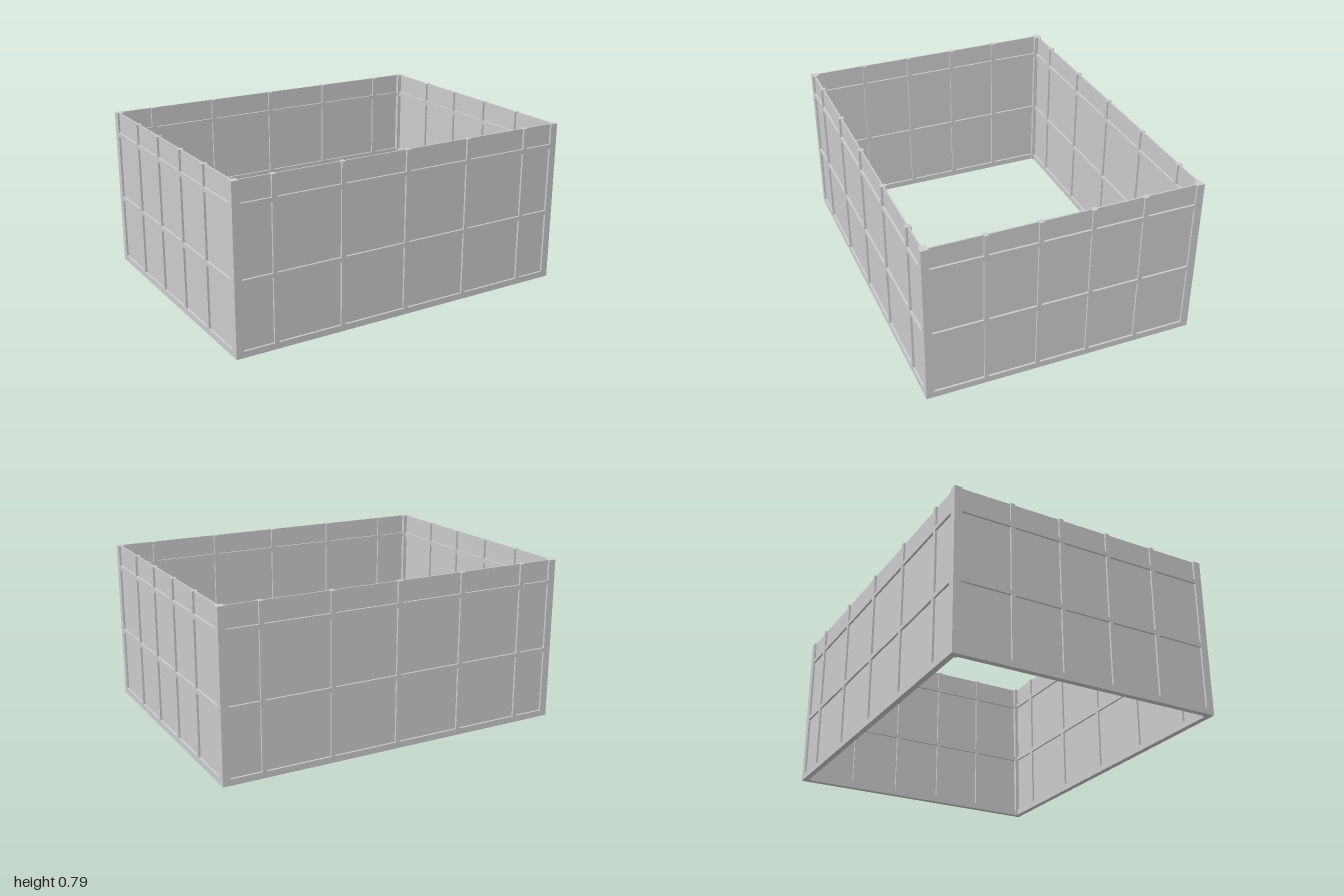
import * as THREE from 'three';

const WIDTH = 1.305, DEPTH = 1.72, HEIGHT = 0.785;
const THICK = 0.027, PANEL = 0.007, POST = 0.036, BASE = 0.03, BAR = 0.021;

const material = new THREE.MeshStandardMaterial({ color: 0xcccccc, flatShading: true });

function addBox(parent, name, w, h, d, x, y, z) {
  const mesh = new THREE.Mesh(new THREE.BoxGeometry(w, h, d), material);
  mesh.name = name;
  mesh.position.set(x, y, z);
  parent.add(mesh);
}

// One wall along x, its outer face at z = 0, facing +z
function createWall(name, length, studs) {
  const wall = new THREE.Group();
  wall.name = name;
  const span = length - 2 * POST;
  const mid = -THICK / 2;

  // Thin sheet in the middle of the frame
  addBox(wall, 'panel', span, HEIGHT - BASE, PANEL, 0, (HEIGHT + BASE) / 2, mid);

  // Sill and horizontal rails, proud of the sheet on both sides
  addBox(wall, 'sill', span, BASE, THICK, 0, BASE / 2, mid);
  for (const y of [0.342, 0.676]) addBox(wall, 'rail', span, BAR, THICK, 0, y, mid);

  // Vertical studs up to the top edge
  for (const x of studs) {
    addBox(wall, 'stud', BAR, HEIGHT - BASE, THICK, x, (HEIGHT + BASE) / 2, mid);
  }
  return wall;
}

export function createModel() {
  const model = new THREE.Group();
  model.name = 'panelEnclosure';

  const frame = new THREE.Group();
  frame.name = 'enclosure';
  frame.rotation.y = -THREE.MathUtils.degToRad(15.1);
  model.add(frame);

  const shortStuds = [-0.37, -0.123, 0.123, 0.37];
  const longStuds = [-0.667, -0.333, 0, 0.333, 0.667];
  const names = ['frontWall', 'leftWall', 'backWall', 'rightWall'];

  // Four walls, each turned a quarter further
  names.forEach((name, i) => {
    const long = i % 2 === 1;
    const wall = createWall(name, long ? DEPTH : WIDTH, long ? longStuds : shortStuds);
    const angle = i * Math.PI / 2;
    const reach = (long ? WIDTH : DEPTH) / 2;
    wall.rotation.y = angle;
    wall.position.set(Math.sin(angle) * reach, 0, Math.cos(angle) * reach);
    frame.add(wall);
  });

  // Corner posts
  for (const sx of [-1, 1]) {
    for (const sz of [-1, 1]) {
      addBox(frame, 'cornerPost', POST, HEIGHT, POST,
        sx * (WIDTH - POST) / 2, HEIGHT / 2, sz * (DEPTH - POST) / 2);
    }
  }
  return model;
}
